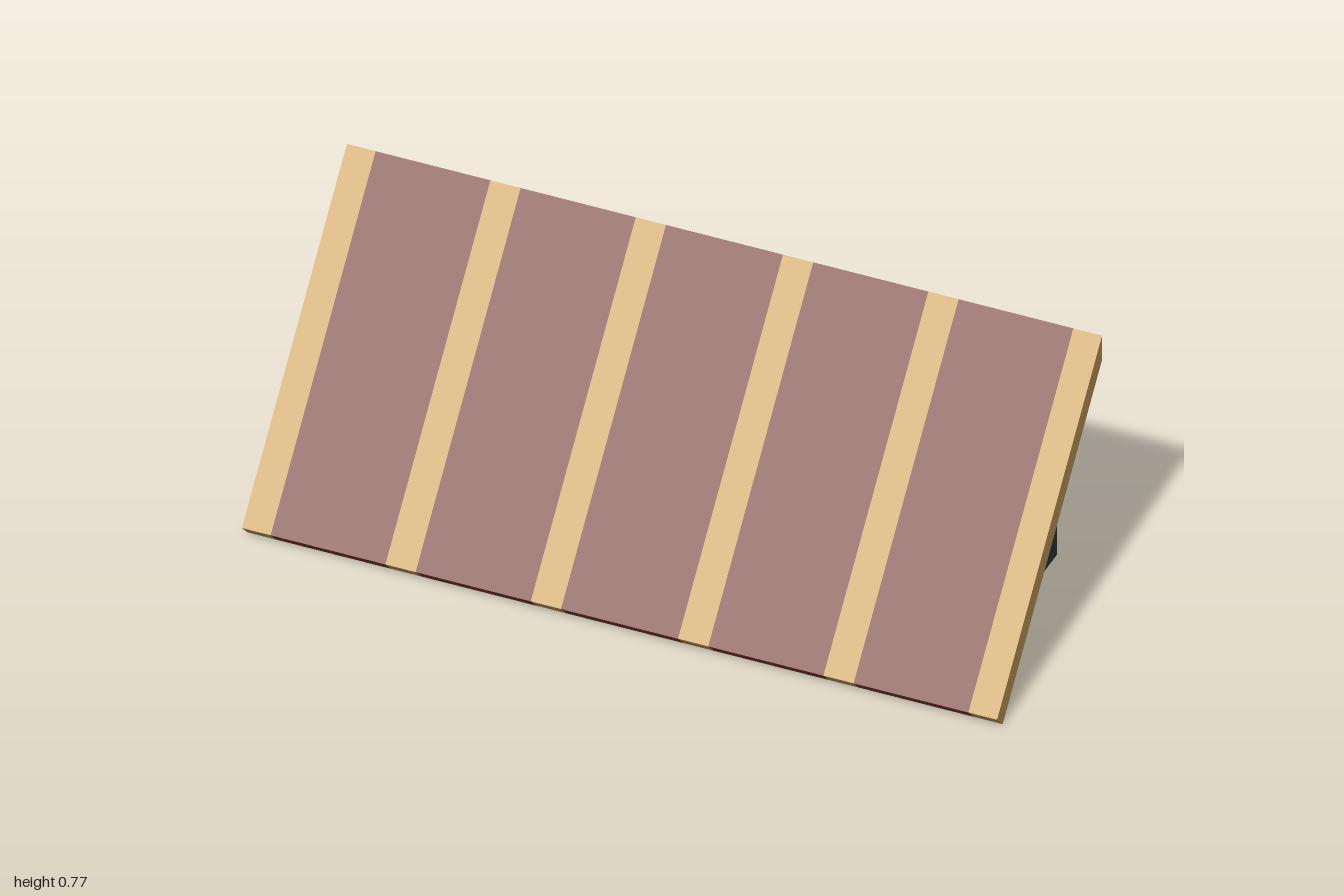
import * as THREE from 'three';

const red = new THREE.MeshStandardMaterial({ name: 'red stripe', color: 0x793a32 });
const tan = new THREE.MeshStandardMaterial({ name: 'tan stripe', color: 0xc49d59 });
const iron = new THREE.MeshStandardMaterial({ name: 'dark iron', color: 0x2f3937 });

// Extrudes a side profile of [z, y] points along x, from x0 to x1
function prism(name, profile, x0, x1, material) {
  const shape = new THREE.Shape(profile.map(([z, y]) => new THREE.Vector2(-z, y)));
  const geometry = new THREE.ExtrudeGeometry(shape, { depth: x1 - x0, bevelEnabled: false });
  geometry.rotateY(Math.PI / 2);
  geometry.translate(x0, 0, 0);
  const mesh = new THREE.Mesh(geometry, material);
  mesh.name = name;
  return mesh;
}

function box(name, x, y, z, w, h, d) {
  const mesh = new THREE.Mesh(new THREE.BoxGeometry(w, h, d), iron);
  mesh.name = name;
  mesh.position.set(x, y, z);
  return mesh;
}

export function createModel() {
  const model = new THREE.Group();
  model.name = 'awning';

  // Sloping canopy: alternating stripes running through its whole thickness
  const canopy = new THREE.Group();
  canopy.name = 'canopy';
  const slope = [[0.318, 0.035], [0.284, 0], [-0.315, 0.694], [-0.315, 0.766]];
  const edges = [-1, -0.924, -0.62, -0.54, -0.235, -0.155, 0.155, 0.235, 0.54, 0.62, 0.924, 1];
  for (let i = 0; i < edges.length - 1; i++) {
    const isTan = i % 2 === 0;
    canopy.add(prism(isTan ? 'tanStripe' : 'redStripe', slope, edges[i], edges[i + 1], isTan ? tan : red));
  }
  model.add(canopy);

  // Support frame: wedge rail under the canopy, wall rail and two arms
  const frame = new THREE.Group();
  frame.name = 'supportFrame';
  frame.add(prism('frontRail', [[0.217, 0.08], [0.105, 0.08], [0.105, 0.209]], -0.88, 0.88, iron));
  frame.add(box('wallRail', 0, 0.1445, -0.261, 1.76, 0.129, 0.112));
  for (const side of [-1, 1]) {
    frame.add(box('arm', side * 0.745, 0.137, -0.05, 0.08, 0.079, 0.312));
  }
  model.add(frame);

  return model;
}
